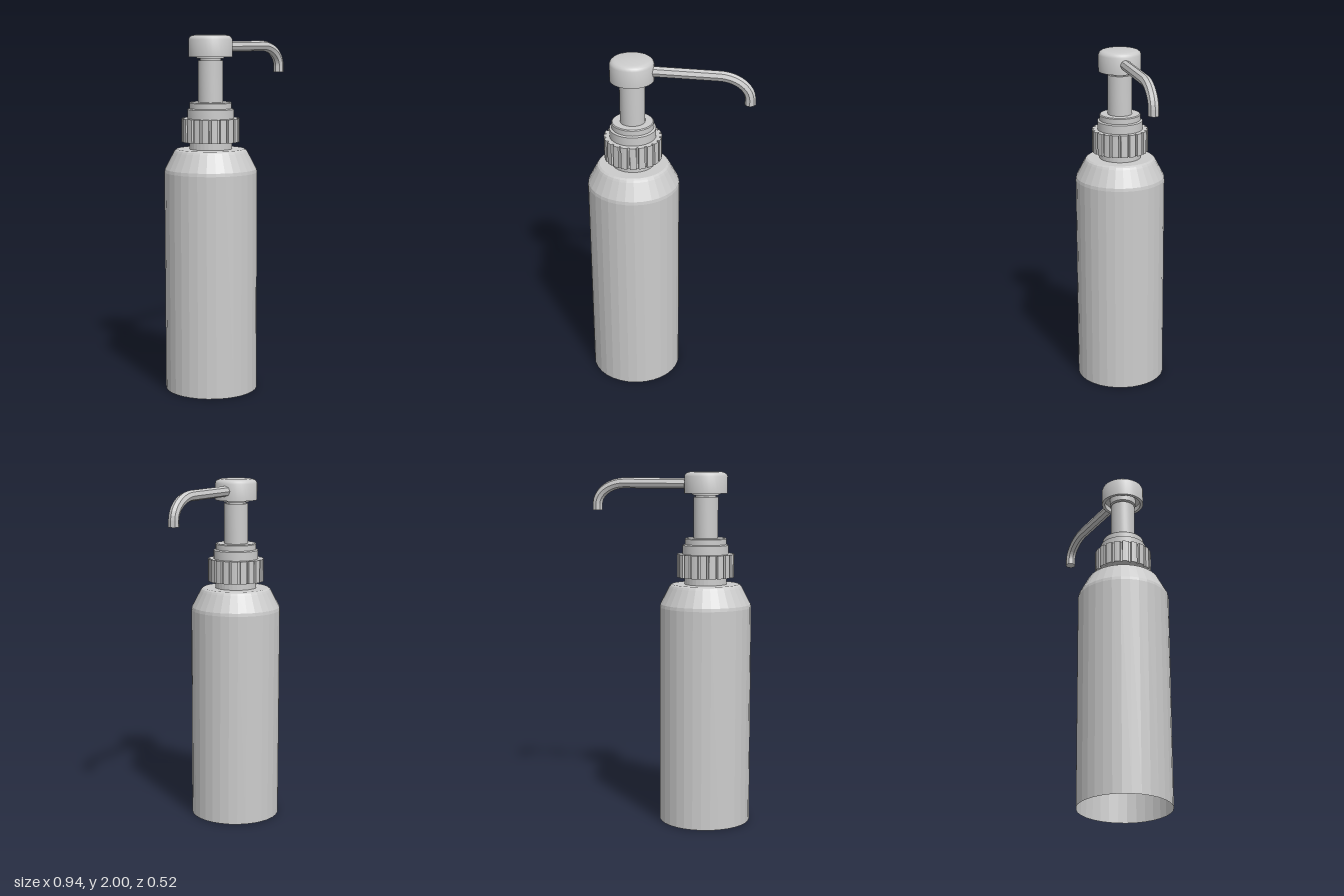
import * as THREE from 'three';
import { toCreasedNormals } from 'three/addons/utils/BufferGeometryUtils.js';

const AXIS_X = -0.21; // vertical axis of bottle and pump
const flat = new THREE.MeshStandardMaterial({ color: 0xcccccc, flatShading: true });
const openFlat = new THREE.MeshStandardMaterial({ color: 0xcccccc, flatShading: true, side: THREE.DoubleSide });
const smooth = new THREE.MeshStandardMaterial({ color: 0xcccccc });

function add(parent, name, geometry, material) {
  const mesh = new THREE.Mesh(geometry, material);
  mesh.name = name;
  parent.add(mesh);
  return mesh;
}

// Profile of [radius, height] pairs, listed from bottom to top
function turned(profile, sides) {
  return new THREE.LatheGeometry(profile.map(([r, y]) => new THREE.Vector2(r, y)), sides);
}

// Toothed outline for the screw collar
function gearShape(teeth, inner, outer) {
  const points = [];
  const step = (Math.PI * 2) / teeth;
  for (let i = 0; i < teeth; i++) {
    for (const [t, r] of [[0, inner], [0.2, inner], [0.25, outer], [0.6, outer], [0.95, outer]]) {
      const a = (i + t) * step;
      points.push(new THREE.Vector2(Math.cos(a) * r, Math.sin(a) * r));
    }
  }
  return new THREE.Shape(points);
}

export function createModel() {
  const model = new THREE.Group();
  model.name = 'pumpBottle';
  const bottle = new THREE.Group();
  bottle.name = 'bottleAndPump';
  bottle.position.x = AXIS_X;
  model.add(bottle);

  // Bottle, open underneath, with sloped shoulder and neck
  add(bottle, 'bottleBody', turned([
    [0.26, 0], [0.26, 1.24], [0.257, 1.258], [0.208, 1.352], [0.201, 1.363], [0.19, 1.37], [0.12, 1.37], [0.12, 1.42],
  ], 32), openFlat);

  // Ribbed screw collar
  const collar = new THREE.ExtrudeGeometry(gearShape(20, 0.15, 0.162), { depth: 0.13, bevelEnabled: false });
  collar.rotateX(-Math.PI / 2);
  collar.translate(0, 1.41, 0);
  add(bottle, 'ribbedCollar', collar, flat);

  // Stepped rings above the collar
  add(bottle, 'collarRings', toCreasedNormals(turned([
    [0.13, 1.53], [0.13, 1.59], [0.118, 1.595], [0.118, 1.625], [0.113, 1.63], [0, 1.63],
  ], 32), 0.6), smooth);

  // Plunger stem with the narrow lip below the head
  add(bottle, 'plungerStem', toCreasedNormals(turned([
    [0.07, 1.62], [0.07, 1.86], [0.058, 1.86], [0.058, 1.9],
  ], 32), 0.6), smooth);
  add(bottle, 'headSocket', toCreasedNormals(turned([
    [0.055, 1.87], [0.076, 1.87], [0.076, 1.92],
  ], 32), 0.6), smooth);

  // Pump head, hollow underneath
  add(bottle, 'pumpHead', toCreasedNormals(turned([
    [0, 1.91], [0.105, 1.91], [0.105, 1.88], [0.122, 1.88], [0.122, 1.975],
    [0.116, 1.988], [0.105, 1.996], [0.09, 2], [0, 2],
  ], 32), 0.7), smooth);

  // Spout: straight run, curved drop, short vertical tip
  const at = (x, y) => new THREE.Vector3(x, y, 0);
  const path = new THREE.CurvePath();
  path.add(new THREE.LineCurve3(at(-0.15, 1.935), at(0.27, 1.935)));
  path.add(new THREE.CubicBezierCurve3(at(0.27, 1.935), at(0.36, 1.935), at(0.437, 1.88), at(0.437, 1.815)));
  path.add(new THREE.LineCurve3(at(0.437, 1.815), at(0.437, 1.78)));
  const spout = new THREE.Group();
  spout.name = 'spout';
  model.add(spout);
  add(spout, 'spoutTube', new THREE.TubeGeometry(path, 36, 0.03, 8, false), flat);
  const tip = add(spout, 'spoutTip', new THREE.CircleGeometry(0.03, 8), flat);
  tip.rotation.x = Math.PI / 2;
  tip.position.set(0.437, 1.78, 0);

  return model;
}
